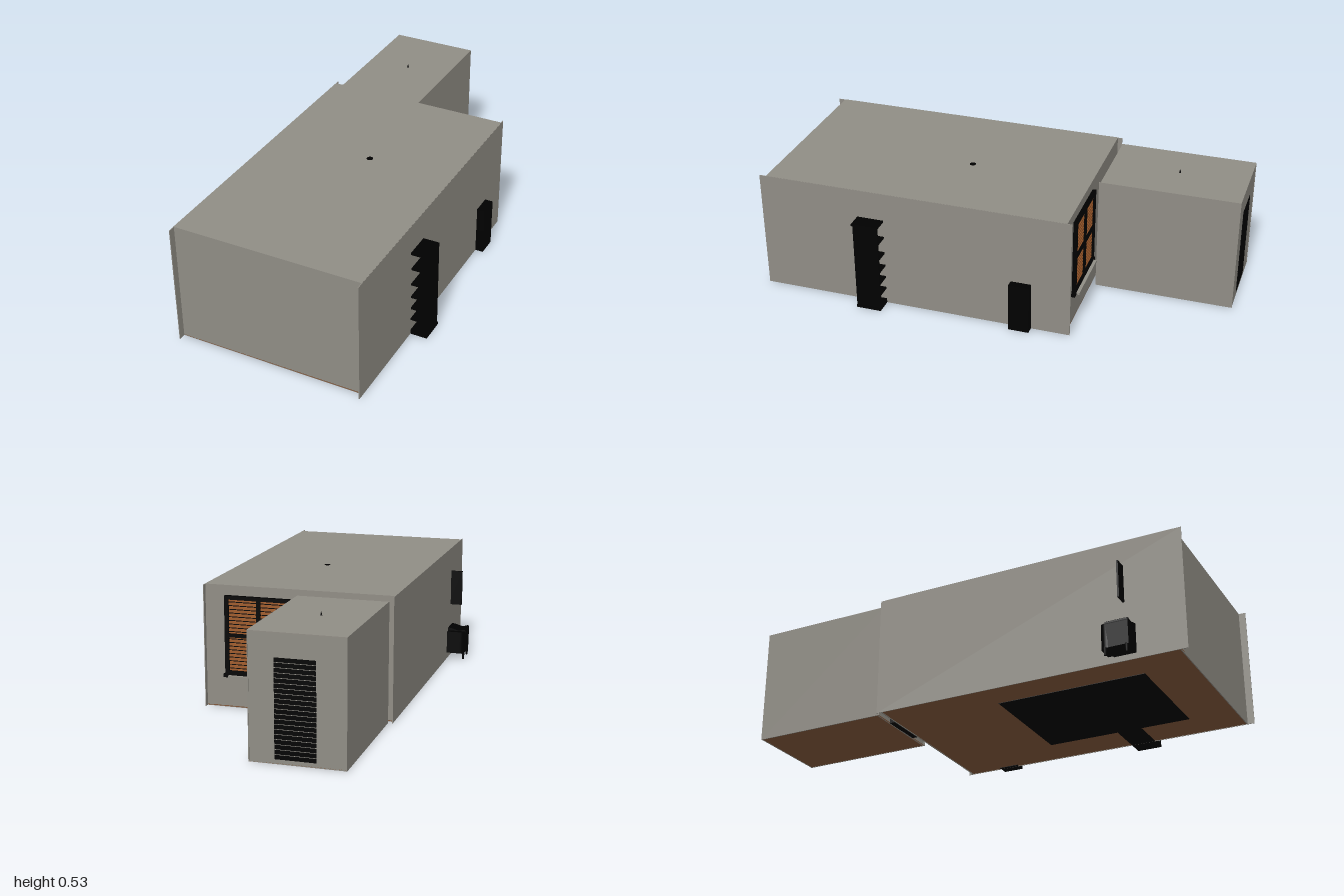
import * as THREE from 'three';

const material = (name, color) => {
  const m = new THREE.MeshStandardMaterial({ color, side: THREE.DoubleSide });
  m.name = name;
  return m;
};

export function createModel() {
  const group = new THREE.Group();
  const wall = material('warm grey plaster', 0x908d85);
  const black = material('black furniture', 0x000000);
  const brown = material('brown floor', 0x80563a);
  const slat = material('brown window slats', 0xa05c2c);

  const add = (name, geometry, mat, parent = group) => {
    const mesh = new THREE.Mesh(geometry, mat);
    mesh.name = name;
    parent.add(mesh);
    return mesh;
  };
  // box given by its lower and upper limits on each axis
  const box = (name, mat, x0, x1, y0, y1, z0, z1, parent) => {
    const mesh = add(name, new THREE.BoxGeometry(x1 - x0, y1 - y0, z1 - z0), mat, parent);
    mesh.position.set((x0 + x1) / 2, (y0 + y1) / 2, (z0 + z1) / 2);
    return mesh;
  };
  const part = (name) => {
    const g = new THREE.Group();
    g.name = name;
    group.add(g);
    return g;
  };

  // main room: side walls run slightly past the front and back walls
  const room = part('mainRoom');
  box('leftWall', wall, 0.416, 0.419, 0, 0.533, -0.39, 1, room);
  box('rightWall', wall, -0.41, -0.407, 0, 0.533, -0.39, 1, room);
  box('frontWall', wall, -0.408, 0.416, 0, 0.533, 0.966, 0.97, room);
  box('backWall', wall, -0.408, 0.416, 0, 0.533, -0.37, -0.366, room);
  box('ceiling', wall, -0.41, 0.418, 0.531, 0.534, -0.37, 0.97, room);
  box('floor', brown, -0.408, 0.416, 0.002, 0.006, -0.37, 0.97, room);
  box('rug', black, -0.265, 0.25, 0, 0.009, 0.115, 0.765, room);
  const lamp = add('ceilingLamp', new THREE.CylinderGeometry(0.014, 0.014, 0.004, 20), black, room);
  lamp.position.set(0.04, 0.5325, 0.165);

  // annex behind the main room
  const annex = part('annex');
  box('annexLeftWall', wall, -0.004, 0, 0, 0.514, -1, -0.39, annex);
  box('annexRightWall', wall, -0.39, -0.386, 0, 0.514, -1, -0.39, annex);
  box('annexBackWall', wall, -0.386, -0.004, 0, 0.514, -0.998, -0.994, annex);
  box('annexFrontWall', wall, -0.386, -0.004, 0, 0.514, -0.401, -0.397, annex);
  box('annexCeiling', wall, -0.39, 0, 0.511, 0.515, -1, -0.397, annex);
  box('annexFloor', brown, -0.386, -0.004, 0.001, 0.005, -0.998, -0.397, annex);
  const tip = add('annexLampTip', new THREE.ConeGeometry(0.005, 0.018, 6), black, annex);
  tip.position.set(-0.197, 0.523, -0.7);
  for (let i = 0; i < 20; i++) {
    const y = 0.02 + i * 0.02;
    box('backDoorSlat', black, -0.27, -0.105, y, y + 0.017, -1, -0.997, annex);
  }

  // doorway joining the two rooms
  box('doorway', black, -0.29, -0.1, 0.001, 0.42, -0.398, -0.368);

  // window in the back wall: slatted blind behind a black frame with four panes
  const win = part('window');
  box('windowBacking', black, 0.03, 0.32, 0.16, 0.48, -0.374, -0.37, win);
  for (let i = 0; i < 20; i++) {
    const y = 0.162 + i * 0.016;
    box('windowSlat', slat, 0.032, 0.318, y, y + 0.011, -0.378, -0.373, win);
  }
  for (const x of [0.025, 0.167, 0.309]) box('windowUpright', black, x, x + 0.018, 0.15, 0.49, -0.386, -0.37, win);
  for (const y of [0.15, 0.312, 0.475]) box('windowBar', black, 0.025, 0.327, y, y + 0.016, -0.386, -0.37, win);
  box('windowSill', black, 0.01, 0.335, 0.135, 0.15, -0.386, -0.37, win);
  box('windowLedge', wall, 0.03, 0.31, 0.136, 0.146, -0.4, -0.386, win);

  // tall shelf: back panel with open shelves reaching through the wall
  const shelf = part('tallShelf');
  box('shelfPanel', black, 0.479, 0.489, 0, 0.405, 0.435, 0.545, shelf);
  for (const y of [0.012, 0.071, 0.126, 0.183, 0.246, 0.321])
    box('shelfBoard', black, 0.4, 0.48, y, y + 0.008, 0.435, 0.545, shelf);
  box('shelfTop', black, 0.4, 0.489, 0.399, 0.408, 0.435, 0.552, shelf);
  box('shelfBase', black, 0.24, 0.493, 0, 0.012, 0.435, 0.545, shelf);

  // low cabinet in two stacked sections
  const cabinet = part('lowCabinet');
  box('cabinetLower', black, 0.4, 0.455, 0, 0.11, -0.22, -0.13, cabinet);
  box('cabinetUpper', black, 0.4, 0.455, 0.11, 0.217, -0.22, -0.13, cabinet);

  // thin panel standing out from the right wall
  box('wallPanel', black, -0.464, -0.4, 0.255, 0.42, 0.74, 0.748);

  // armchair with a curved arm line, rounded back corner and small feet
  const chair = part('armchair');
  const side = new THREE.Shape();
  side.moveTo(-0.4, 0.024);
  side.lineTo(-0.4, 0.15);
  side.bezierCurveTo(-0.44, 0.15, -0.45, 0.132, -0.475, 0.14);
  side.quadraticCurveTo(-0.497, 0.15, -0.494, 0.13);
  side.lineTo(-0.492, 0.03);
  side.closePath();
  const body = add('armchairBody', new THREE.ExtrudeGeometry(side, { depth: 0.095, bevelEnabled: false }), black, chair);
  body.position.z = 0.695;
  box('armchairBack', black, -0.469, -0.4, 0.03, 0.135, 0.67, 0.7, chair);
  const corner = add('armchairCorner', new THREE.CylinderGeometry(0.025, 0.025, 0.105, 20), black, chair);
  corner.position.set(-0.469, 0.0825, 0.695);
  for (const z of [0.69, 0.78]) {
    const foot = add('armchairFoot', new THREE.CylinderGeometry(0.007, 0.005, 0.035, 8), black, chair);
    foot.position.set(-0.487, 0.0175, z);
  }

  return group;
}
